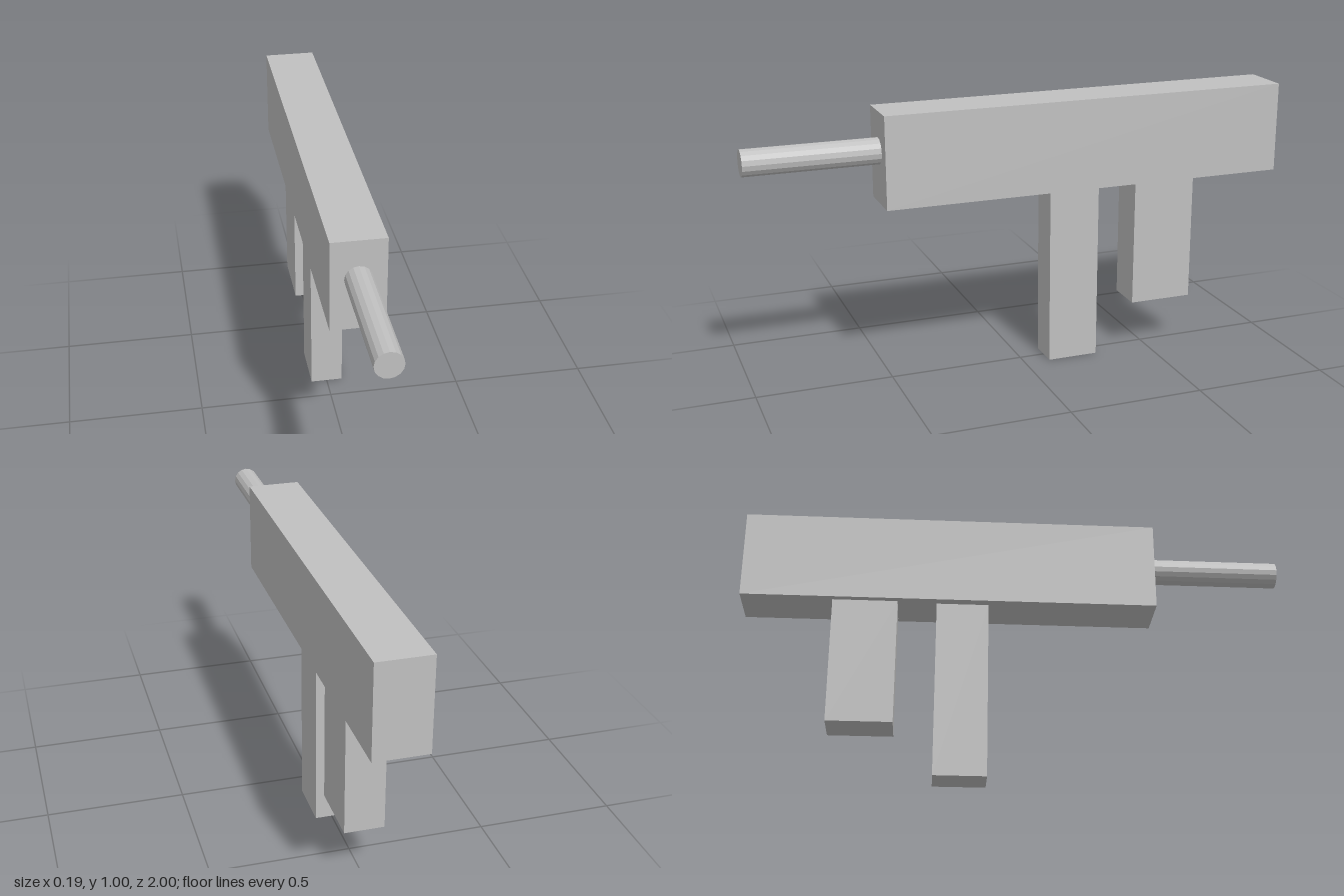
import * as THREE from 'three';

export function createModel() {
  const model = new THREE.Group();
  const grey = new THREE.MeshStandardMaterial({ color: 0xc0c0c0, flatShading: true });
  grey.name = 'plain grey';

  const add = (name, geometry, x, y, z) => {
    const mesh = new THREE.Mesh(geometry, grey);
    mesh.name = name;
    mesh.position.set(x, y, z);
    model.add(mesh);
  };

  // Box from its width and its y and z extents
  const block = (name, width, y0, y1, z0, z1) =>
    add(name, new THREE.BoxGeometry(width, y1 - y0, z1 - z0), 0, (y0 + y1) / 2, (z0 + z1) / 2);

  // Long body with two blocks hanging below
  block('body', 0.19, 0.667, 1, -1, 0.524);
  block('frontPost', 0.12, 0, 0.667, -0.286, -0.095);
  block('rearPost', 0.142, 0.19, 0.667, -0.667, -0.429);

  // Round rod on the front face
  const rod = new THREE.CylinderGeometry(0.0475, 0.0475, 0.476, 16);
  rod.rotateX(Math.PI / 2);
  add('frontRod', rod, 0, 0.858, 0.762);

  return model;
}
